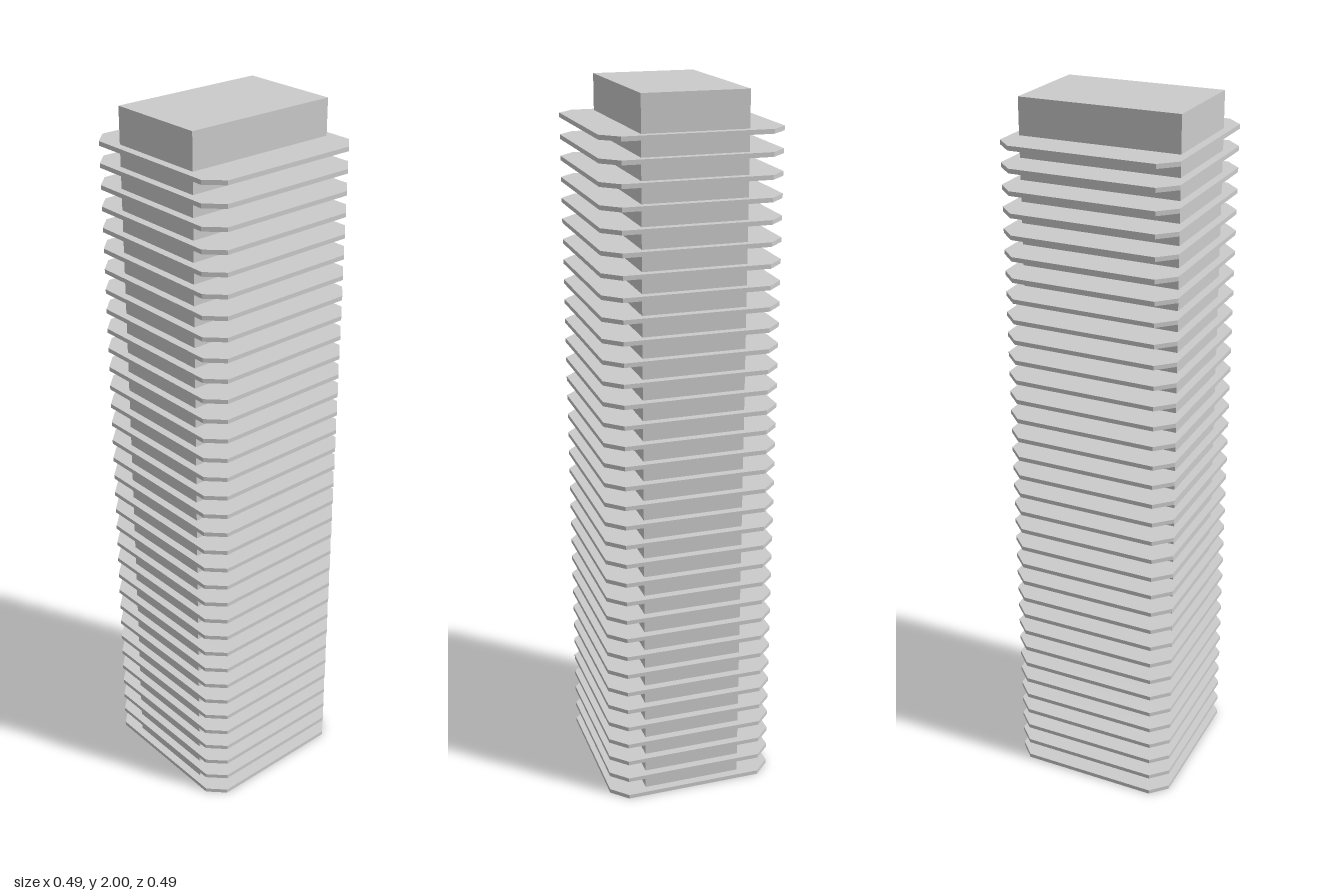
import * as THREE from 'three';

const SLABS = 34, THICK = 0.012, STEP = 0.0573;
const HALF = 0.244, CUT = 0.199; // slab half width and start of the corner chamfer

export function createModel() {
  const group = new THREE.Group();
  group.name = 'tower';
  const material = new THREE.MeshStandardMaterial({ color: 0xcccccc, flatShading: true });

  // Rectangular core, rising above the top floor
  const base = THICK / 2;
  const core = new THREE.Mesh(new THREE.BoxGeometry(0.284, 2 - base, 0.442), material);
  core.name = 'core';
  core.position.y = (2 + base) / 2;
  group.add(core);

  // Square floor plate with chamfered corners
  const outline = new THREE.Shape([
    [HALF, -CUT], [HALF, CUT], [CUT, HALF], [-CUT, HALF],
    [-HALF, CUT], [-HALF, -CUT], [-CUT, -HALF], [CUT, -HALF],
  ].map(([x, y]) => new THREE.Vector2(x, y)));
  const plate = new THREE.ExtrudeGeometry(outline, { depth: THICK, bevelEnabled: false });
  plate.rotateX(-Math.PI / 2);

  // Evenly stacked floors
  const floors = new THREE.Group();
  floors.name = 'floors';
  for (let i = 0; i < SLABS; i++) {
    const slab = new THREE.Mesh(plate, material);
    slab.name = `floorSlab${i + 1}`;
    slab.position.y = i * STEP;
    floors.add(slab);
  }
  group.add(floors);
  return group;
}
